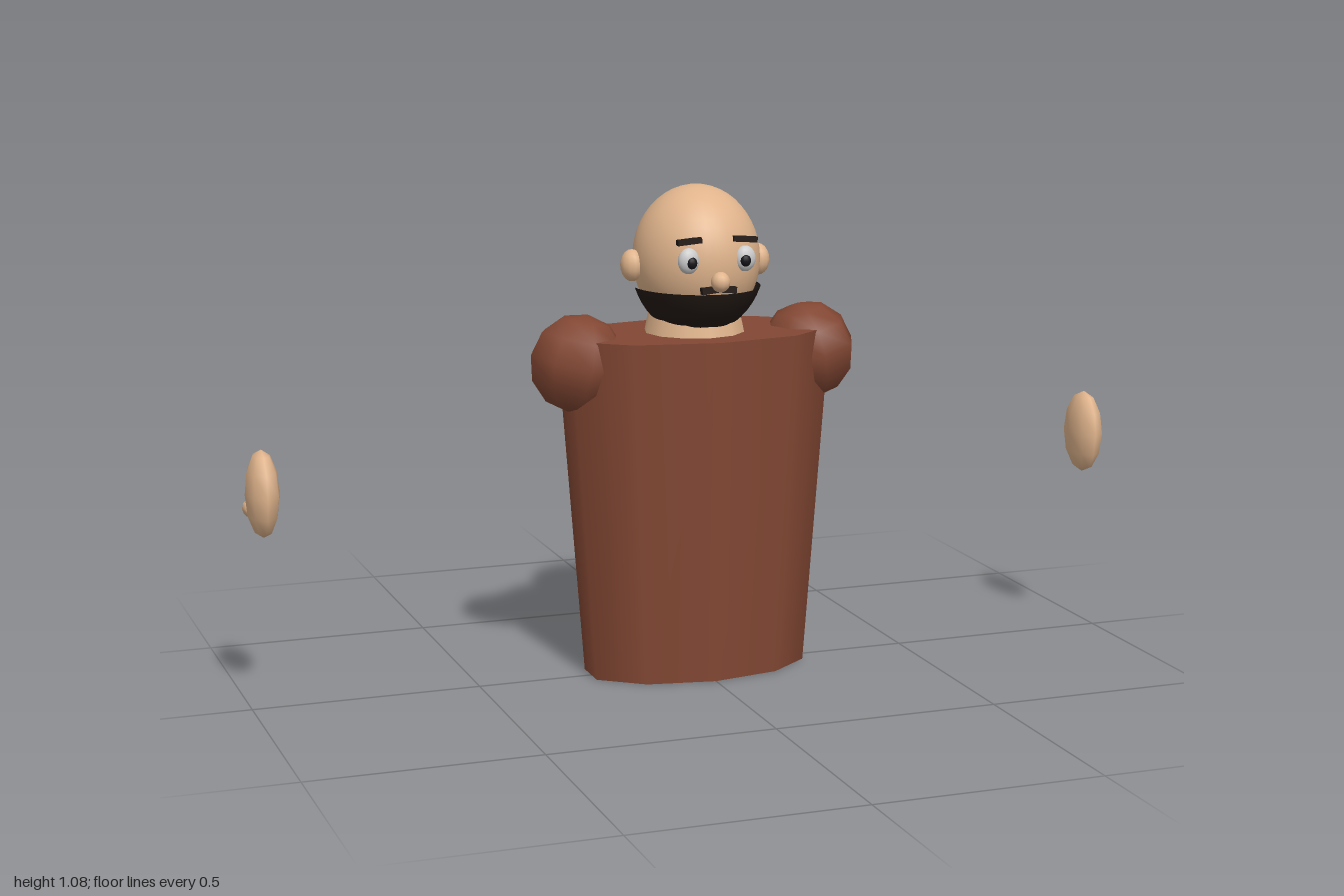
import * as THREE from 'three';

const paint = (color, side = THREE.FrontSide) => new THREE.MeshStandardMaterial({ color, side });

export function createModel() {
  const model = new THREE.Group();
  const cloth = paint(0x824733), skin = paint(0xe0b48c), hair = paint(0x231a15, THREE.DoubleSide);
  const white = paint(0xf2f2f2), dark = paint(0x15151a);

  const add = (name, geometry, material, x, y, z, rotZ = 0) => {
    const mesh = new THREE.Mesh(geometry, material);
    mesh.name = name;
    mesh.position.set(x, y, z);
    mesh.rotation.z = rotZ;
    model.add(mesh);
    return mesh;
  };
  const ellipsoid = (rx, ry, rz, w = 16, h = 12) => new THREE.SphereGeometry(1, w, h).scale(rx, ry, rz);

  // Torso: ten-sided tapered barrel, wider than deep
  add('torso', new THREE.CylinderGeometry(0.175, 0.1425, 0.76, 10).scale(1.8, 1, 1), cloth, 0, 0.38, -0.004);
  add('neck', new THREE.CylinderGeometry(0.092, 0.115, 0.11, 12), skin, 0, 0.795, -0.004);

  // Head
  add('head', ellipsoid(0.138, 0.16, 0.147, 32, 24), skin, 0, 0.923, 0.008);
  add('nose', ellipsoid(0.021, 0.022, 0.021, 12, 10), skin, 0, 0.89, 0.162);

  // Beard: lower front quarter of a slightly larger shell
  const cut = Math.acos(-0.06 / 0.17);
  const beard = new THREE.SphereGeometry(1, 24, 10, 0, Math.PI, cut, Math.PI - cut).scale(0.149, 0.17, 0.17);
  add('beard', beard, hair, 0, 0.923, 0.004);

  for (const s of [-1, 1]) {
    const side = s > 0 ? 'left' : 'right';

    // Face details
    add(side + 'Ear', ellipsoid(0.025, 0.035, 0.029, 12, 10), skin, s * 0.146, 0.912, 0.003);
    add(side + 'Eye', ellipsoid(0.024, 0.028, 0.017), white, s * 0.064, 0.935, 0.139);
    add(side + 'Pupil', ellipsoid(0.012, 0.013, 0.009, 12, 8), dark, s * 0.061, 0.932, 0.152);
    add(side + 'Brow', new THREE.BoxGeometry(0.054, 0.012, 0.015), hair, s * 0.063, 0.977, 0.14, s * -0.08);
    add(side + 'Moustache', new THREE.BoxGeometry(0.04, 0.014, 0.016), hair, s * 0.019, 0.872, 0.15, s * -0.1);

    // Shoulder ball, tilted outwards
    add(side + 'Shoulder', ellipsoid(0.108, 0.108, 0.108, 8, 6), cloth, s * 0.268, 0.703, -0.004, s * 0.22);

    // Floating hand with thumb
    add(side + 'Hand', ellipsoid(0.037, 0.095, 0.064, 8, 6), skin, s * 0.963, 0.467, -0.005);
    add(side + 'Thumb', ellipsoid(0.022, 0.022, 0.022, 8, 6), skin, s * 0.974, 0.425, -0.064);
  }
  return model;
}
